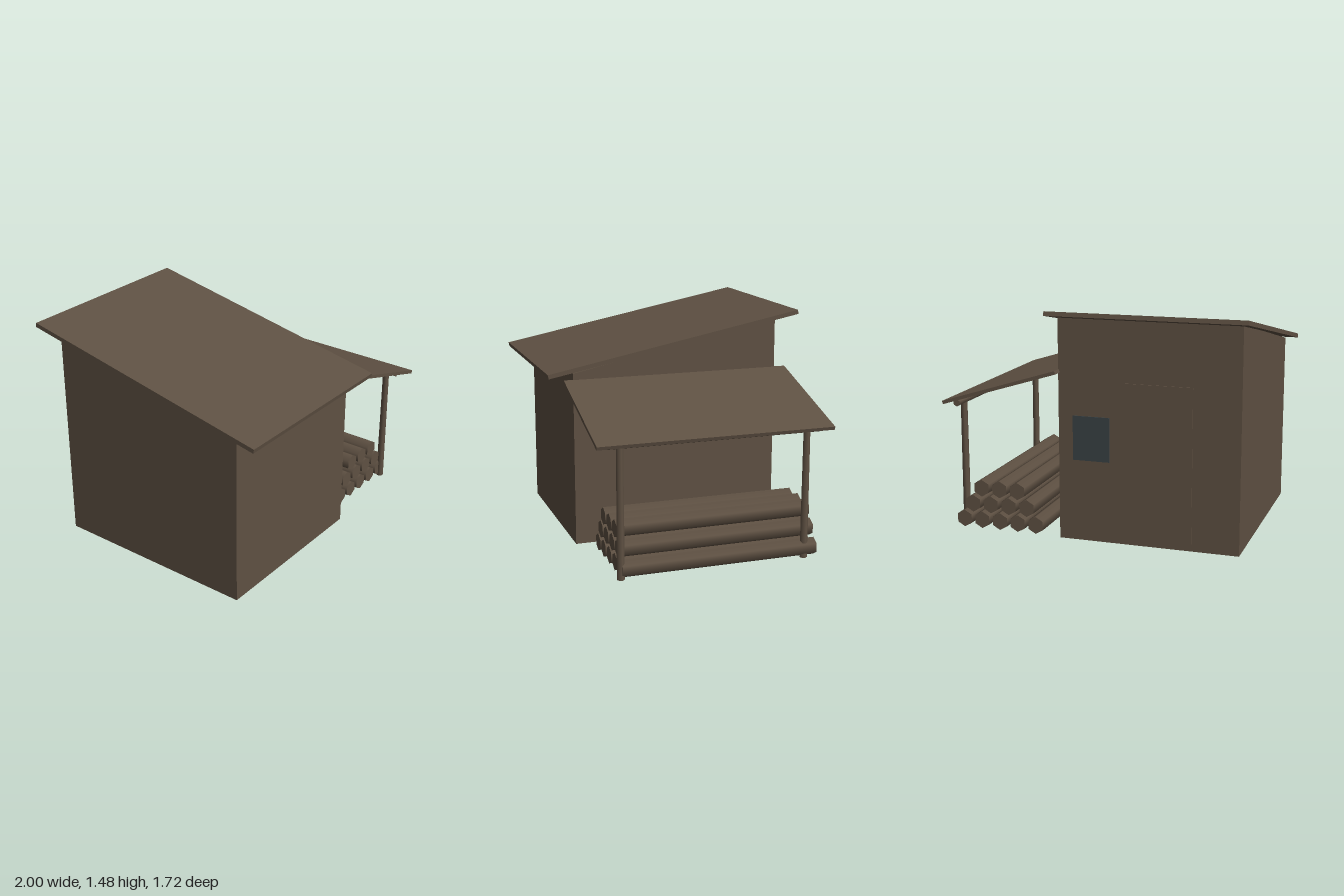
import * as THREE from 'three';

const wood = new THREE.MeshStandardMaterial({ color: 0x5f5143 });
wood.name = 'weathered wood';
const glass = new THREE.MeshStandardMaterial({ color: 0x3a4346 });
glass.name = 'dark glass';

function add(parent, name, geometry, material, x = 0, y = 0, z = 0) {
  const mesh = new THREE.Mesh(geometry, material);
  mesh.name = name;
  mesh.position.set(x, y, z);
  parent.add(mesh);
  return mesh;
}

// Four corners, running from front left to back left of the cabin
function loop(inset, frontY, backY) {
  const l = -0.94 + inset, r = 0.23 - inset, f = 0.69 - inset, b = -0.697 + inset;
  return [[l, frontY, f], [r, frontY, f], [r, backY, b], [l, backY, b]];
}

// Skin a list of four-cornered loops and cap both ends
function skin(loops) {
  const pos = [];
  const quad = (a, b, c, d) => pos.push(...a, ...b, ...c, ...a, ...c, ...d);
  for (let k = 0; k < loops.length - 1; k++) {
    const p = loops[k], q = loops[k + 1];
    for (let i = 0; i < 4; i++) {
      const j = (i + 1) % 4;
      quad(p[i], p[j], q[j], q[i]);
    }
  }
  const first = loops[0], last = loops[loops.length - 1];
  quad(first[3], first[2], first[1], first[0]);
  quad(last[0], last[1], last[2], last[3]);
  const g = new THREE.BufferGeometry();
  g.setAttribute('position', new THREE.Float32BufferAttribute(pos, 3));
  g.computeVertexNormals();
  return g;
}

export function createModel() {
  const model = new THREE.Group();
  model.name = 'woodShed';

  // Cabin with sloping top and a floor recessed above the wall bottoms
  const cabin = new THREE.Group();
  cabin.name = 'cabin';
  model.add(cabin);
  add(cabin, 'cabinWalls', skin([
    loop(0.08, 0.05, 0.05), loop(0.08, 0, 0), loop(0, 0, 0), loop(0, 1.14, 1.43),
  ]), wood);
  const roof = add(cabin, 'mainRoof', new THREE.BoxGeometry(1.26, 0.028, 1.742), wood, -0.37, 1.3, 0.002);
  roof.rotation.x = 0.192;

  // Door and window on the back wall
  add(cabin, 'door', new THREE.BoxGeometry(0.44, 0.99, 0.008), wood, -0.418, 0.54, -0.699);
  add(cabin, 'window', new THREE.BoxGeometry(0.24, 0.285, 0.008), glass, 0.015, 0.668, -0.699);

  // Lean-to roof, beam and posts
  const leanTo = new THREE.Group();
  leanTo.name = 'leanTo';
  model.add(leanTo);
  const cover = add(leanTo, 'leanToRoof', new THREE.BoxGeometry(0.81, 0.022, 1.525), wood, 0.61, 0.97, -0.012);
  cover.rotation.z = -0.3;
  const beam = add(leanTo, 'beam', new THREE.CylinderGeometry(0.024, 0.024, 1.393, 6), wood, 0.922, 0.842, -0.027);
  beam.rotation.x = Math.PI / 2;
  for (const [name, z] of [['frontPost', 0.59], ['backPost', -0.62]]) {
    add(leanTo, name, new THREE.CylinderGeometry(0.022, 0.025, 0.83, 7), wood, 0.92, 0.415, z);
  }

  // Stack of six-sided logs: rows of five, four and three
  const logs = new THREE.Group();
  logs.name = 'logPile';
  model.add(logs);
  const logGeometry = new THREE.CylinderGeometry(0.057, 0.057, 1.285, 6);
  for (let row = 0; row < 3; row++) {
    for (let i = 0; i < 5 - row; i++) {
      const x = 0.4 + row * 0.0625 + i * 0.1255;
      const log = add(logs, 'log', logGeometry, wood, x, 0.062 + row * 0.108, -0.056);
      log.rotation.x = Math.PI / 2;
    }
  }
  return model;
}
